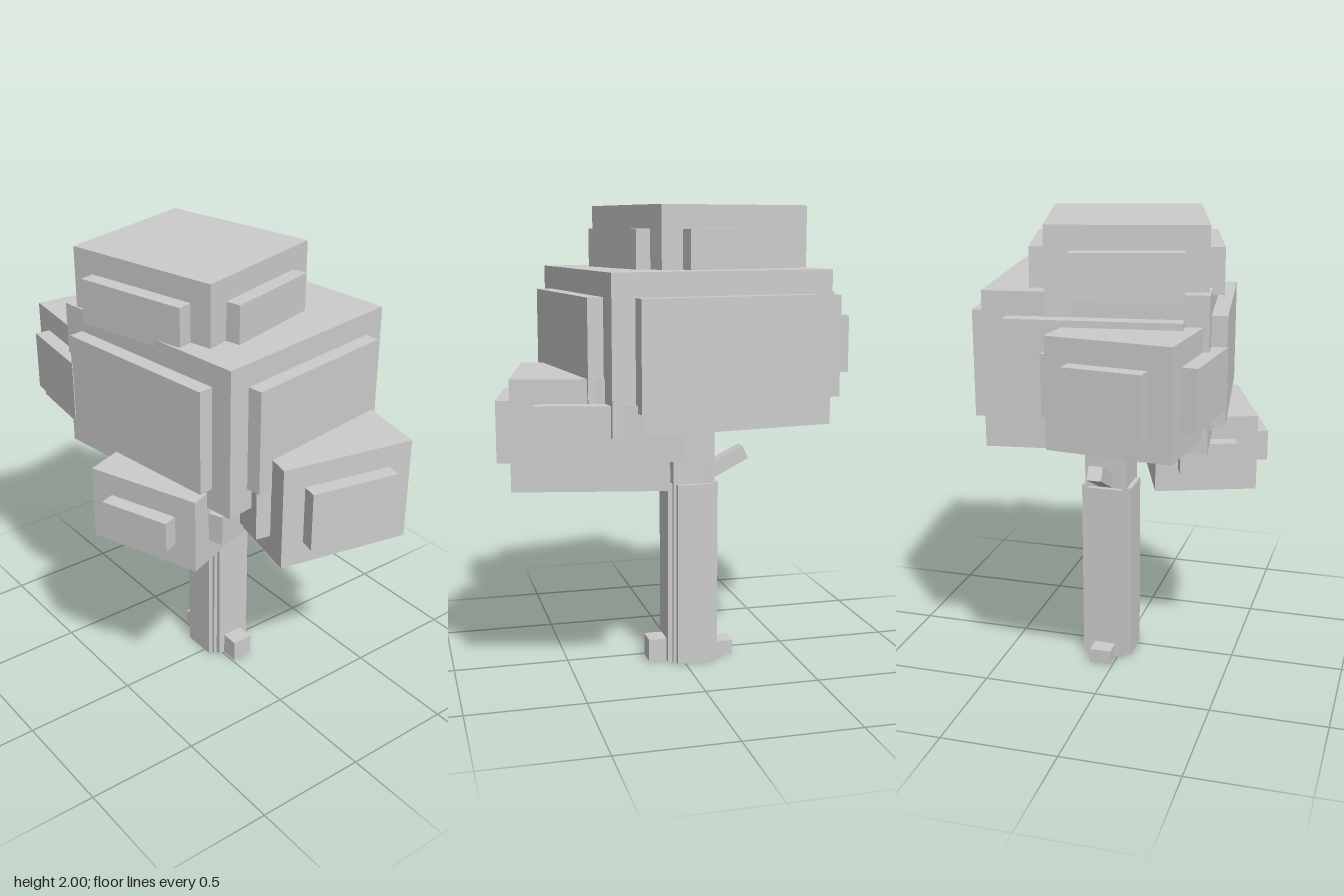
import * as THREE from 'three';

const grey = new THREE.MeshStandardMaterial({ color: 0xcccccc });
grey.name = 'plain grey';

function box(parent, name, [w, h, d], [x, y, z] = [0, 0, 0]) {
  const mesh = new THREE.Mesh(new THREE.BoxGeometry(w, h, d), grey);
  mesh.name = name;
  mesh.position.set(x, y, z);
  parent.add(mesh);
  return mesh;
}

// Leaf block with an inset raised panel on each of its four sides
function leafBlock(parent, name, [w, h, d], [x, y, z], turn) {
  const inset = 0.195, raise = 0.13;
  const block = new THREE.Group();
  block.name = name;
  block.position.set(x, y, z);
  block.rotation.y = turn;
  box(block, 'leafCore', [w, h, d]);
  box(block, 'frontBackPanels', [w - inset, h - inset, d + raise]);
  box(block, 'sidePanels', [w + raise, h - inset, d - inset]);
  parent.add(block);
}

export function createModel() {
  const tree = new THREE.Group();
  tree.name = 'blockTree';

  // Trunk: square core with bark slabs on all four sides
  const tx = -0.0425, tz = -0.0575;
  box(tree, 'trunkCore', [0.185, 1.2, 0.185], [tx, 0.6, tz]);
  box(tree, 'barkFrontBack', [0.155, 0.81, 0.225], [tx, 0.405, tz]);
  box(tree, 'barkSides', [0.225, 0.81, 0.155], [tx, 0.405, tz]);

  // Roots
  box(tree, 'leftRoot', [0.095, 0.1, 0.095], [0.1025, 0.05, tz]);
  box(tree, 'rightRoot', [0.1, 0.065, 0.095], [-0.185, 0.0325, tz]);

  // Short branch stub
  box(tree, 'branch', [0.3, 0.063, 0.063], [-0.16, 0.86, tz]).rotation.z = -0.47;

  // Foliage
  leafBlock(tree, 'mainFoliage', [0.959, 0.64, 0.899], [-0.0125, 1.42, -0.06], 0.14);
  leafBlock(tree, 'topFoliage', [0.703, 0.385, 0.643], [-0.105, 1.8075, 0.035], 0.26);
  leafBlock(tree, 'leftFoliage', [0.63, 0.45, 0.583], [0.41, 1.1, -0.19], -0.207);
  leafBlock(tree, 'rightFoliage', [0.57, 0.45, 0.514], [-0.465, 1.39, 0.165], -0.107);
  leafBlock(tree, 'frontFoliage', [0.511, 0.325, 0.435], [0.115, 1.0025, 0.3], 0.35);

  return tree;
}
